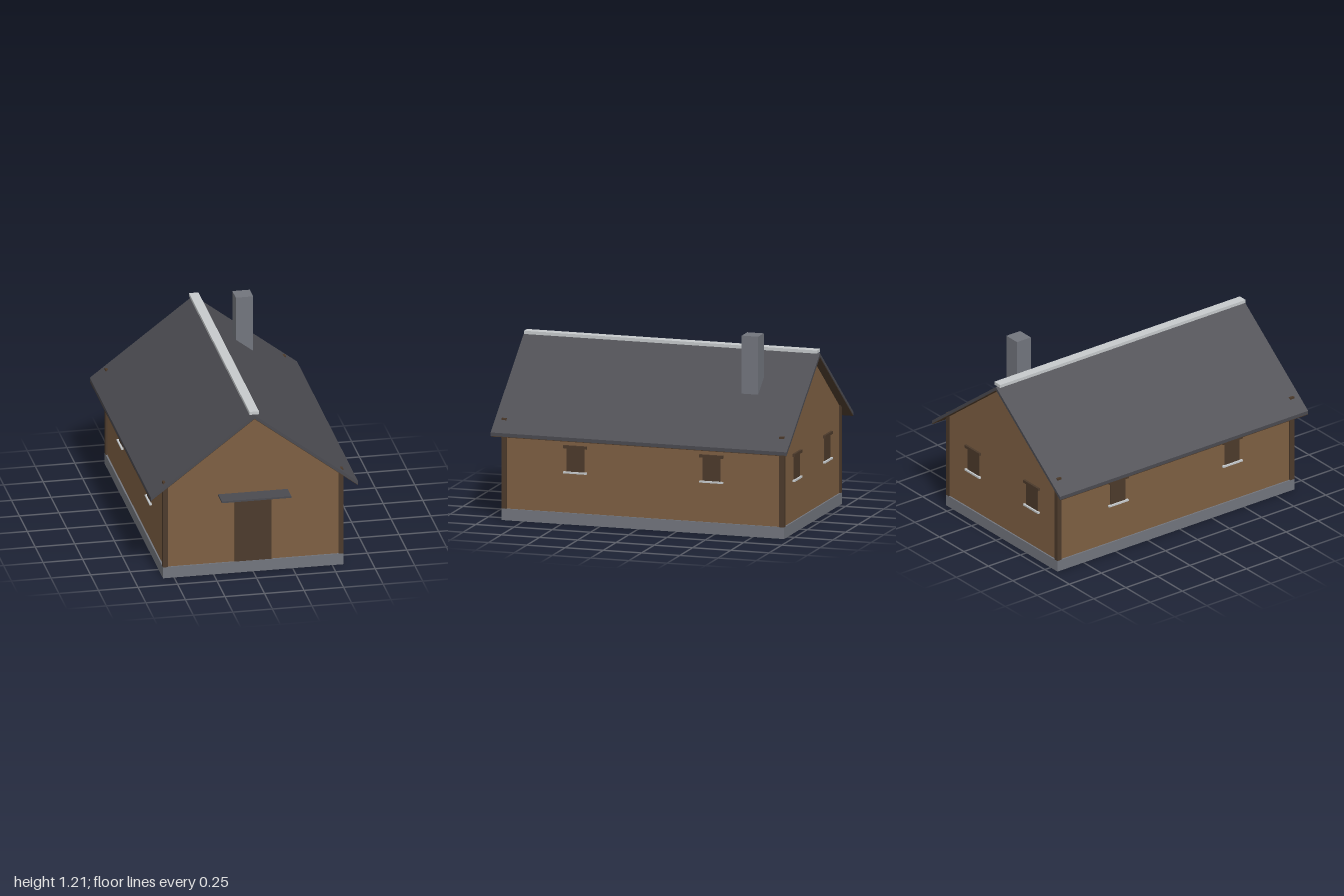
import * as THREE from 'three';

export function createModel() {
  const house = new THREE.Group();
  house.name = 'house';

  const material = (name, color) => {
    const m = new THREE.MeshStandardMaterial({ color });
    m.name = name;
    return m;
  };
  const wood = material('wall wood', 0x7d5f42);
  const timber = material('dark timber', 0x4c3a2b);
  const slate = material('roof slate', 0x4a4a50);
  const stone = material('grey stone', 0x72757d);
  const metal = material('pale metal', 0xc6cacc);

  const add = (name, geometry, mat, parent = house) => {
    const mesh = new THREE.Mesh(geometry, mat);
    mesh.name = name;
    parent.add(mesh);
    return mesh;
  };
  // Box given by its lower and upper limits on each axis
  const box = (name, mat, x0, x1, y0, y1, z0, z1, parent = house) => {
    const mesh = add(name, new THREE.BoxGeometry(x1 - x0, y1 - y0, z1 - z0), mat, parent);
    mesh.position.set((x0 + x1) / 2, (y0 + y1) / 2, (z0 + z1) / 2);
    return mesh;
  };
  // Front outline drawn out from z0 to z1
  const prism = (name, mat, points, z0, z1) => {
    const shape = new THREE.Shape(points.map(([x, y]) => new THREE.Vector2(x, y)));
    const geometry = new THREE.ExtrudeGeometry(shape, { depth: z1 - z0, bevelEnabled: false });
    add(name, geometry, mat).position.z = z0;
  };

  const front = 0.892, back = -0.955, half = 0.57, base = 0.073;
  const wallX = 0.56, wallFront = 0.882, wallBack = -0.945;
  const slope = 0.763, apex = 1.068, eave = 0.655;
  const roofY = (x) => apex - slope * Math.abs(x);

  // Foundation: low stone walls around a raised floor
  for (const s of [-1, 1]) {
    const edge = s * half, inner = s * (half - 0.02);
    box('foundationSide', stone, Math.min(edge, inner), Math.max(edge, inner), 0, base, back, front);
  }
  box('foundationFront', stone, -0.55, 0.55, 0, base, front - 0.02, front);
  box('foundationBack', stone, -0.55, 0.55, 0, base, back, back + 0.02);
  box('floor', stone, -0.55, 0.55, 0.062, base, back + 0.02, front - 0.02);

  // Gabled wall block
  const under = 0.025;
  prism('walls', wood, [
    [-wallX, base], [wallX, base], [wallX, roofY(wallX) - under],
    [0, apex - under], [-wallX, roofY(wallX) - under],
  ], wallBack, wallFront);

  // Corner posts, just breaking through the roof
  for (const s of [-1, 1]) {
    for (const z of [front - 0.032, back]) {
      box('cornerPost', timber, s * 0.555 - 0.015, s * 0.555 + 0.015, base, 0.645, z, z + 0.032);
    }
  }

  // Roof slopes with a timber lining beneath
  const chevron = (top, bottom) => [
    [-eave, roofY(eave) - bottom], [0, apex - bottom], [eave, roofY(eave) - bottom],
    [eave, roofY(eave) - top], [0, apex - top], [-eave, roofY(eave) - top],
  ];
  prism('roof', slate, chevron(0, 0.022), -1, 0.935);
  prism('roofLining', timber, chevron(0.022, 0.026), -0.998, 0.933);
  box('ridgeCap', metal, -0.03, 0.03, 1.07, 1.09, -0.99, 0.925);
  box('chimney', stone, 0.185, 0.295, 0.8, 1.21, -0.694, -0.586);

  // Door with lintel and canopy
  box('door', timber, -0.115, 0.115, 0.012, 0.488, 0.865, 0.888);
  box('doorLintel', timber, -0.15, 0.15, 0.493, 0.523, 0.875, 0.902);
  box('doorCanopy', slate, -0.22, 0.22, 0.522, 0.533, 0.875, 1);

  // Window facing local +z, with lintel and sill
  const addWindow = (x, z, turn) => {
    const group = new THREE.Group();
    group.name = 'window';
    box('windowPane', timber, -0.058, 0.058, 0.33, 0.488, -0.003, 0.004, group);
    box('windowLintel', timber, -0.076, 0.076, 0.482, 0.5, -0.005, 0.015, group);
    box('windowSill', metal, -0.076, 0.076, 0.323, 0.334, -0.005, 0.015, group);
    group.position.set(x, 0, z);
    group.rotation.y = turn;
    house.add(group);
  };
  for (const s of [-1, 1]) {
    for (const z of [0.412, -0.478]) addWindow(s * wallX, z, s * Math.PI / 2);
    addWindow(s * 0.3, wallBack, Math.PI);
  }

  return house;
}
